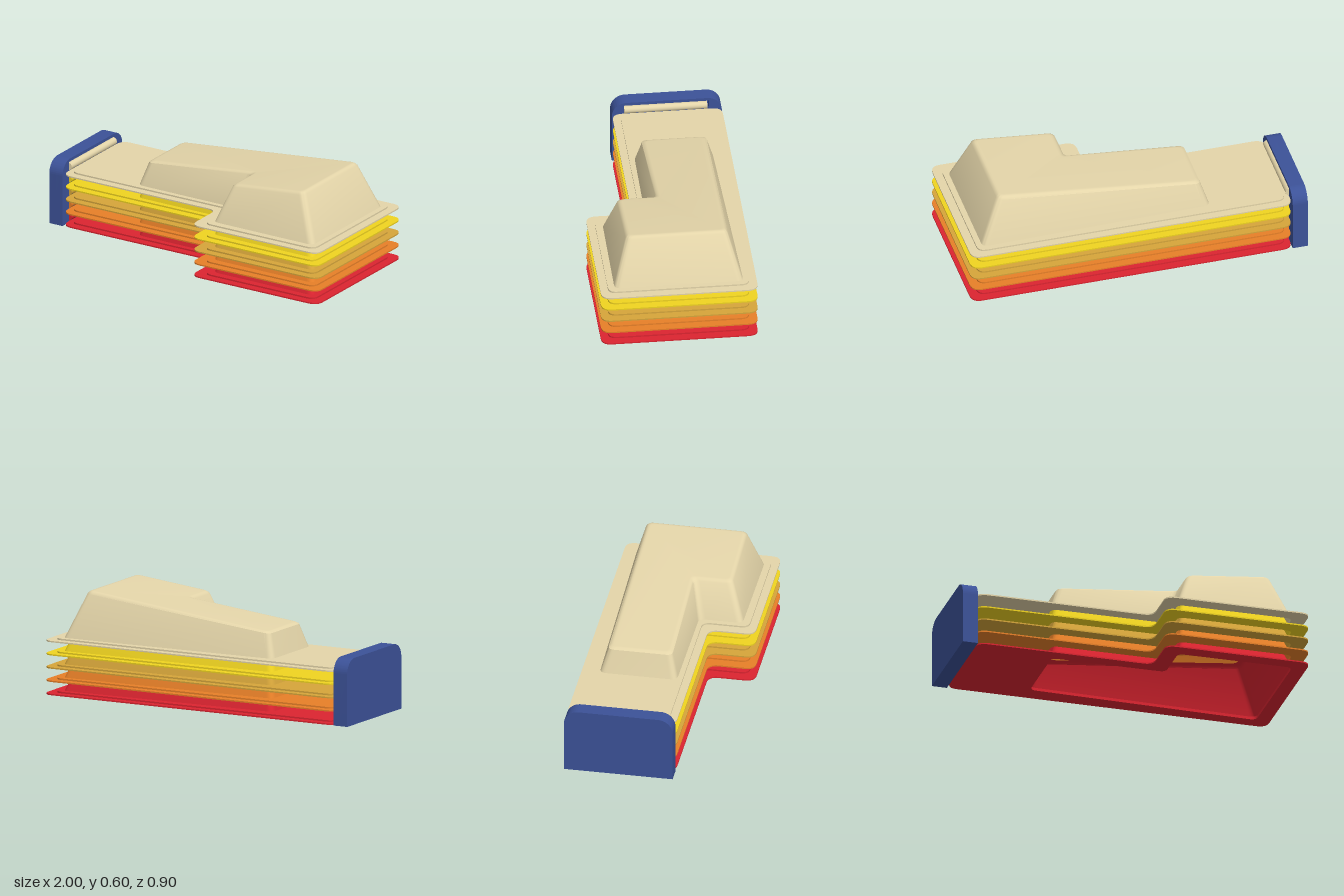
import * as THREE from 'three';
import { toCreasedNormals } from 'three/addons/utils/BufferGeometryUtils.js';

// L-shaped corner lists [x, z], clockwise seen from above
const FLANGE = [[-0.91, -0.455], [1, -0.455], [1, 0.45], [0.14, 0.45], [0.14, 0.18], [-0.91, 0.18]];
const PANEL = [[-0.88, -0.41], [0.95, -0.41], [0.95, 0.405], [0.2, 0.405], [0.2, 0.135], [-0.88, 0.135]];
const HUMP_BASE = [[-0.45, -0.35], [0.92, -0.38], [0.92, 0.37], [0.23, 0.365], [0.23, 0.11], [-0.45, 0.105]];
const HUMP_TOP = [[-0.4, -0.305], [0.8, -0.295], [0.8, 0.285], [0.315, 0.285], [0.315, 0.06], [-0.4, 0.065]];
const INWARD = [[1, 1], [-1, 1], [-1, -1], [1, -1], [1, -1], [1, -1]];
const PITCH = 0.0775;

// Round every corner of an outline, optionally inset
function outline(corners, radius, inset = 0) {
  const p = corners.map(([x, z], i) => new THREE.Vector2(x + INWARD[i][0] * inset, z + INWARD[i][1] * inset));
  return p.flatMap((c, i) => {
    const toward = (q) => q.clone().sub(c).setLength(radius).add(c);
    const a = toward(p[(i + 5) % 6]), b = toward(p[(i + 1) % 6]);
    return new THREE.QuadraticBezierCurve(a, c, b).getPoints(6);
  });
}

// Flat L-shaped plate with the hump opening cut out
function plate(corners, radius, y, height) {
  const flip = (pts) => pts.map((v) => new THREE.Vector2(v.x, -v.y));
  const shape = new THREE.Shape(flip(outline(corners, radius)));
  shape.holes.push(new THREE.Path(flip(outline(HUMP_BASE, 0.04, 0.004))));
  const g = new THREE.ExtrudeGeometry(shape, { depth: height, bevelEnabled: false });
  return toCreasedNormals(g.rotateX(-Math.PI / 2).translate(0, y, 0), 0.6);
}

// Hollow tapered hump with a sloping roof; open ones keep only a narrow roof rim
function humpGeometry(closed) {
  const roofY = (x) => 0.161 + (x + 0.4) * 0.108;
  const base = outline(HUMP_BASE, 0.04);
  const top = outline(HUMP_TOP, 0.035);
  const roofRing = (inset, drop) => outline(HUMP_TOP, 0.03, inset)
    .map((v) => new THREE.Vector3(v.x, roofY(v.x) - drop, v.y));
  const rings = [
    base.map((v) => new THREE.Vector3(v.x, 0.008, v.y)),
    base.map((v, i) => {
      const q = v.clone().lerp(top[i], 0.94);
      return new THREE.Vector3(q.x, THREE.MathUtils.lerp(0.008, roofY(top[i].x), 0.94), q.y);
    }),
    roofRing(0.004, 0.006),
    roofRing(0.012, 0.001),
    roofRing(0.022, 0),
  ];
  if (!closed) rings.push(roofRing(0.035, 0));
  const n = base.length, index = [];
  for (let k = 0; k < rings.length - 1; k++) {
    for (let i = 0; i < n; i++) {
      const a = k * n + i, b = k * n + (i + 1) % n;
      index.push(a, a + n, b, b, a + n, b + n);
    }
  }
  if (closed) {
    const last = rings[rings.length - 1], start = (rings.length - 1) * n;
    const flat = last.map((v) => new THREE.Vector2(v.x, v.z));
    for (const [a, b, c] of THREE.ShapeUtils.triangulateShape(flat, [])) {
      const up = THREE.ShapeUtils.area([flat[a], flat[b], flat[c]]) < 0;
      index.push(start + a, start + (up ? b : c), start + (up ? c : b));
    }
  }
  const g = new THREE.BufferGeometry().setFromPoints(rings.flat());
  g.setIndex(index);
  return toCreasedNormals(g, 0.7);
}

function createTray(color, closed) {
  const tray = new THREE.Group();
  const material = new THREE.MeshStandardMaterial({ color, side: THREE.DoubleSide });
  const add = (name, geometry) => {
    const m = new THREE.Mesh(geometry, material);
    m.name = name;
    tray.add(m);
  };
  add('flange', plate(FLANGE, 0.06, 0, 0.008));
  add('raisedPanel', plate(PANEL, 0.05, 0.008, 0.009));
  add('hump', humpGeometry(closed));
  // Rolled edge that hooks into the holder
  const roll = new THREE.CylinderGeometry(0.023, 0.023, 0.48, 20);
  add('rolledEdge', roll.rotateX(Math.PI / 2).translate(-0.914, 0.034, -0.13));
  return tray;
}

// Upright end holder: solid back plate plus a slotted inner face
function createHolder() {
  const holder = new THREE.Group();
  holder.name = 'endHolder';
  const material = new THREE.MeshStandardMaterial({ color: 0x3c5298 });
  const z0 = -0.455, z1 = 0.18, h = 0.39, r = 0.085;
  const slab = (name, x, depth, slotted) => {
    const s = new THREE.Shape();
    s.moveTo(-z1, 0);
    s.lineTo(-z0, 0);
    s.lineTo(-z0, h - r);
    s.absarc(-z0 - r, h - r, r, 0, Math.PI / 2);
    s.lineTo(-z1 + r, h);
    s.absarc(-z1 + r, h - r, r, Math.PI / 2, Math.PI);
    s.closePath();
    for (let i = 0; slotted && i < 5; i++) {
      const y = i * PITCH + 0.006;
      s.holes.push(new THREE.Path([[-0.11, y], [0.38, y], [0.38, y + 0.056], [-0.11, y + 0.056]]
        .map(([a, b]) => new THREE.Vector2(a, b))));
    }
    const g = new THREE.ExtrudeGeometry(s, { depth, bevelEnabled: false, curveSegments: 12 });
    const m = new THREE.Mesh(toCreasedNormals(g.rotateY(Math.PI / 2).translate(x, 0, 0), 0.6), material);
    m.name = name;
    holder.add(m);
  };
  slab('backPlate', -1, 0.045, false);
  slab('slottedFace', -0.955, 0.045, true);
  return holder;
}

export function createModel() {
  const model = new THREE.Group();
  model.name = 'stackedTrays';
  const colors = [0xdc2430, 0xe88028, 0xd6a53a, 0xf0d420, 0xe4d5a9];
  colors.forEach((color, i) => {
    const tray = createTray(color, i === colors.length - 1);
    tray.name = `tray${i + 1}`;
    tray.position.y = i * PITCH;
    model.add(tray);
  });
  model.add(createHolder());
  return model;
}
